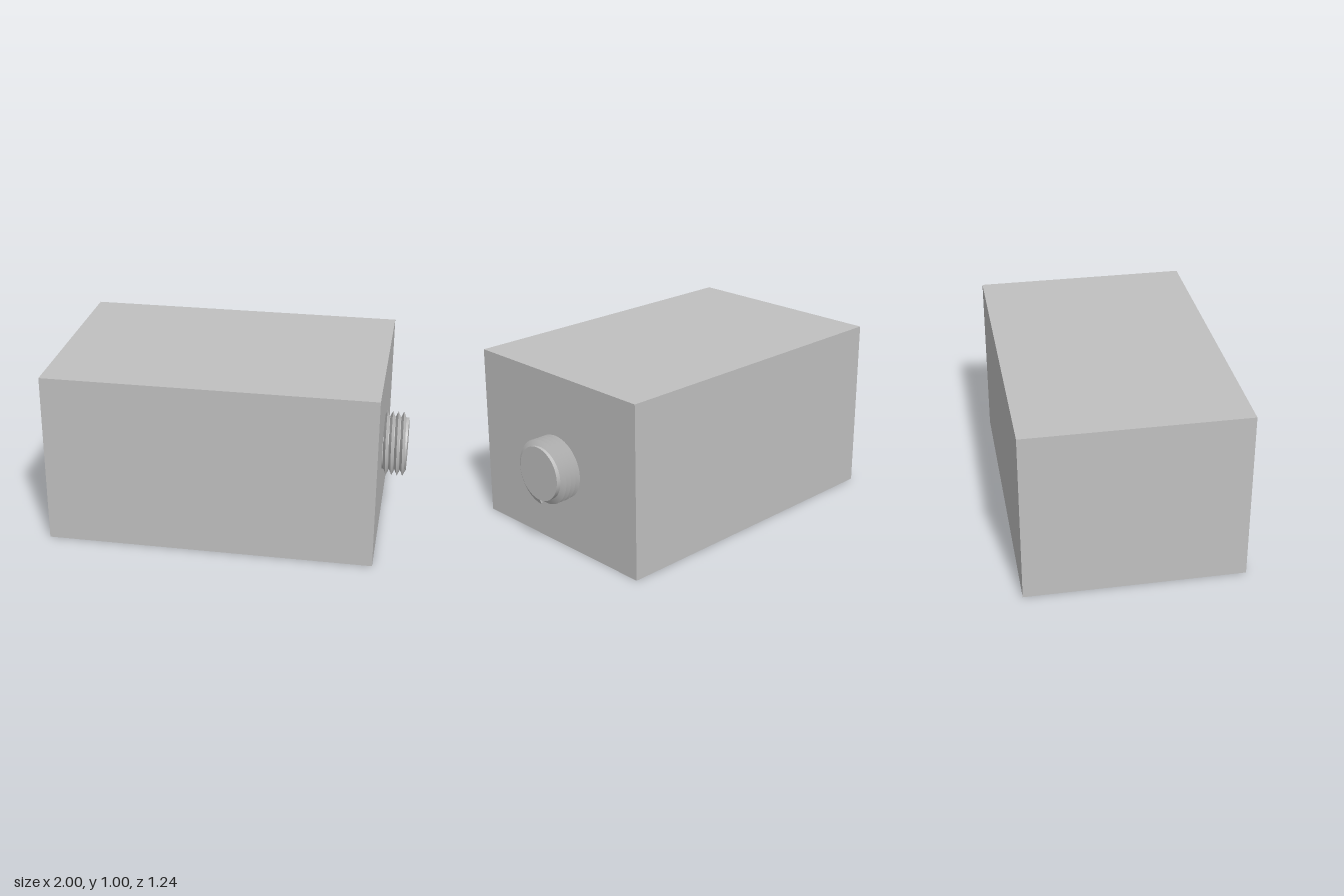
import * as THREE from 'three';

// Helical ridge with a triangular section, wound around the x axis
function threadGeometry(startX, pitch, turns, rootR, crestR, halfWidth, perTurn) {
  const pos = [], idx = [];
  const section = [[-halfWidth, rootR], [0, crestR], [halfWidth, rootR]];
  const steps = perTurn * turns;
  const point = (i, [dx, r]) => {
    const a = Math.PI + (i / perTurn) * Math.PI * 2; // starts at the bottom
    pos.push(startX + pitch * i / perTurn + dx, r * Math.cos(a), r * Math.sin(a));
  };
  // Two flanks with their own vertices, so the crest stays sharp
  for (let f = 0; f < 2; f++) {
    const base = pos.length / 3;
    for (let i = 0; i <= steps; i++) {
      point(i, section[f]);
      point(i, section[f + 1]);
      if (i < steps) {
        const a = base + i * 2;
        idx.push(a, a + 2, a + 1, a + 1, a + 2, a + 3);
      }
    }
  }
  // Closed ends
  for (const [i, order] of [[0, [0, 1, 2]], [steps, [0, 2, 1]]]) {
    const base = pos.length / 3;
    order.forEach((k) => point(i, section[k]));
    idx.push(base, base + 1, base + 2);
  }
  const g = new THREE.BufferGeometry();
  g.setAttribute('position', new THREE.Float32BufferAttribute(pos, 3));
  g.setIndex(idx);
  g.computeVertexNormals();
  return g;
}

export function createModel() {
  const model = new THREE.Group();
  model.name = 'threadedBlock';
  const grey = new THREE.MeshStandardMaterial({ color: 0xc0c0c0 });
  grey.name = 'plainGrey';

  const add = (name, geometry, x, y) => {
    const mesh = new THREE.Mesh(geometry, grey);
    mesh.name = name;
    mesh.position.set(x, y, 0);
    model.add(mesh);
    return mesh;
  };

  const faceX = 0.862, studY = 0.467;

  // Main block
  add('block', new THREE.BoxGeometry(1 + faceX, 1, 1.244), (faceX - 1) / 2, 0.5);

  // Round stud on the side, slightly sunk into the block
  const studLength = 1 - faceX + 0.02;
  const stud = new THREE.CylinderGeometry(0.155, 0.155, studLength, 64);
  stud.rotateZ(-Math.PI / 2);
  add('stud', stud, 1 - studLength / 2, studY);

  // Screw thread around the stud
  add('thread', threadGeometry(0.857, 0.032, 4, 0.154, 0.187, 0.015, 64), 0, studY);

  return model;
}
